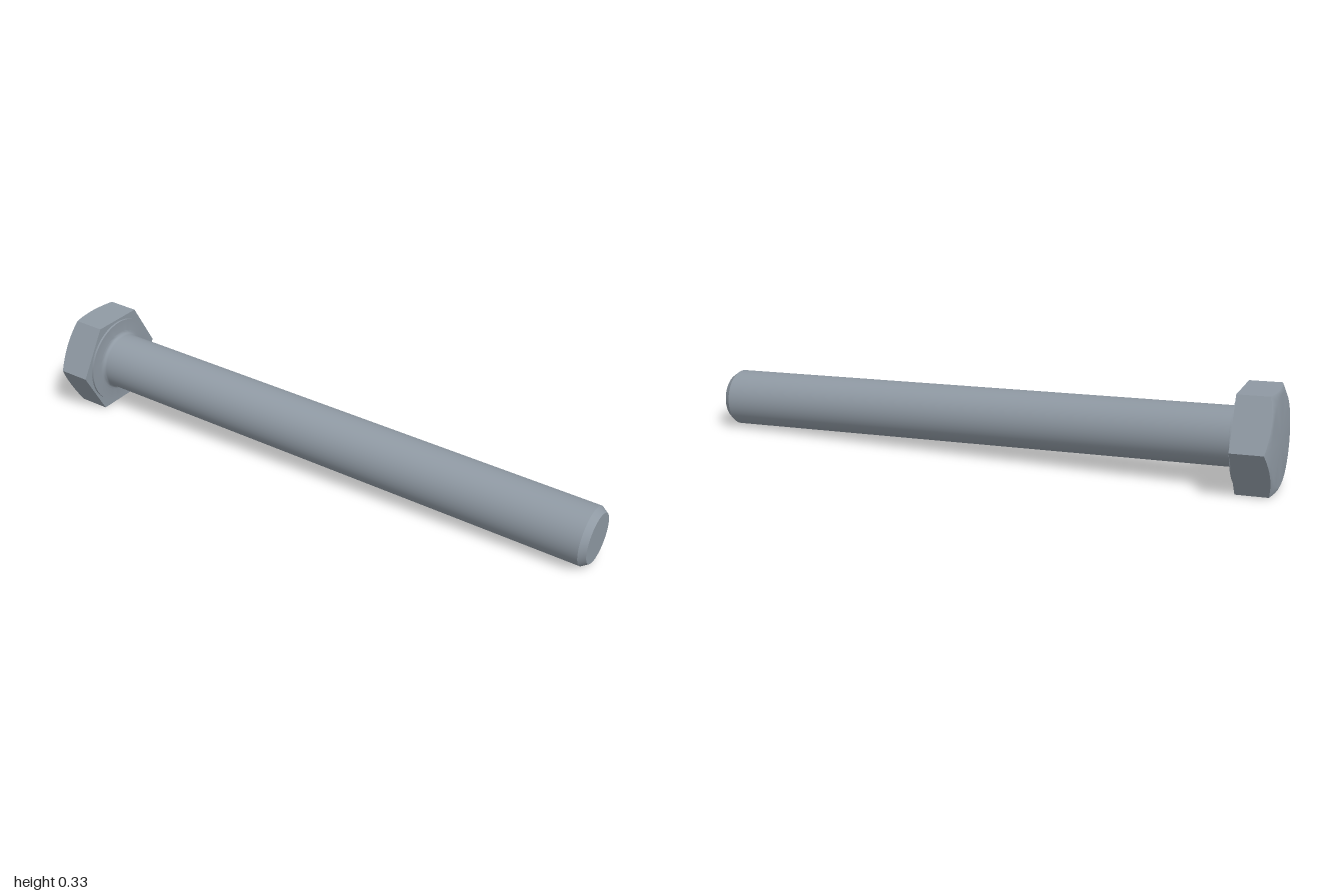
import * as THREE from 'three';
import { mergeVertices, toCreasedNormals } from 'three/addons/utils/BufferGeometryUtils.js';

const SEG = 48;
const LENGTH = 1.872;      // shaft, from the underside of the head
const SHAFT_R = 0.098;
const FLAT_R = 0.162;      // centre of the head to a flat
const CROWN_R = 0.15;      // flat disc on the head, inside the chamfer
const HEAD_H = 0.124;

const v = (r, y) => new THREE.Vector2(r, y);

// Radius of the hexagon at an angle, with a corner at angle 0
function hexRadius(angle) {
  const sector = Math.PI / 3;
  const a = ((angle % sector) + sector) % sector;
  return FLAT_R / Math.cos(a - sector / 2);
}

// Lathe whose marked rings are pushed out to the hexagon; 'rim' also drops along the chamfer
function hexLathe(rings) {
  const geo = new THREE.LatheGeometry(rings.map(([r, y]) => v(r, y)), SEG);
  const p = geo.attributes.position;
  for (let i = 0; i < p.count; i++) {
    const kind = rings[i % rings.length][2];
    if (!kind) continue;
    const angle = Math.floor(i / rings.length) / SEG * Math.PI * 2;
    const r = hexRadius(angle);
    const y = kind === 'rim' ? -HEAD_H + (r - CROWN_R) * 0.45 : p.getY(i);
    p.setXYZ(i, r * Math.sin(angle), y, r * Math.cos(angle));
  }
  geo.deleteAttribute('normal');
  geo.deleteAttribute('uv');
  return geo;
}

export function createModel() {
  const steel = new THREE.MeshStandardMaterial({ color: 0x8f99a3 });
  steel.name = 'steel grey';
  const bolt = new THREE.Group();
  bolt.name = 'bolt';
  const add = (name, geo) => {
    const mesh = new THREE.Mesh(geo, steel);
    mesh.name = name;
    bolt.add(mesh);
  };

  // Smooth crown: flat disc running into the conical chamfer
  const crown = mergeVertices(hexLathe([[0, -HEAD_H], [CROWN_R, -HEAD_H], [1, 0, 'rim']]));
  crown.computeVertexNormals();
  add('headCrown', crown);

  // Six flat sides and the underside
  const sides = hexLathe([[1, 0, 'rim'], [1, 0, 'hex'], [0, 0]]).toNonIndexed();
  sides.computeVertexNormals();
  add('headSides', sides);

  // Washer face, fillet, shaft and chamfered tip
  const profile = [v(0.153, 0), v(0.153, 0.007)];
  const fillet = 0.014;
  for (let i = 0; i <= 4; i++) {
    const a = i / 4 * Math.PI / 2;
    profile.push(v(SHAFT_R + fillet * (1 - Math.sin(a)), 0.007 + fillet * (1 - Math.cos(a))));
  }
  profile.push(v(SHAFT_R, LENGTH - 0.022), v(0.083, LENGTH), v(0, LENGTH));
  add('shaft', toCreasedNormals(new THREE.LatheGeometry(profile, SEG), 0.5));

  // Lay the bolt down, resting on the tip and the edge of the head
  const axis = new THREE.Vector3(0.9777, -0.035, 0.2073).normalize();
  const side = new THREE.Vector3(-axis.z, 0, axis.x).normalize();
  const across = new THREE.Vector3().crossVectors(axis, side);
  bolt.quaternion.setFromRotationMatrix(new THREE.Matrix4().makeBasis(across, axis, side));
  bolt.position.set(-0.8475, 0.164, -0.14);

  const model = new THREE.Group();
  model.name = 'hexBolt';
  model.add(bolt);
  return model;
}
